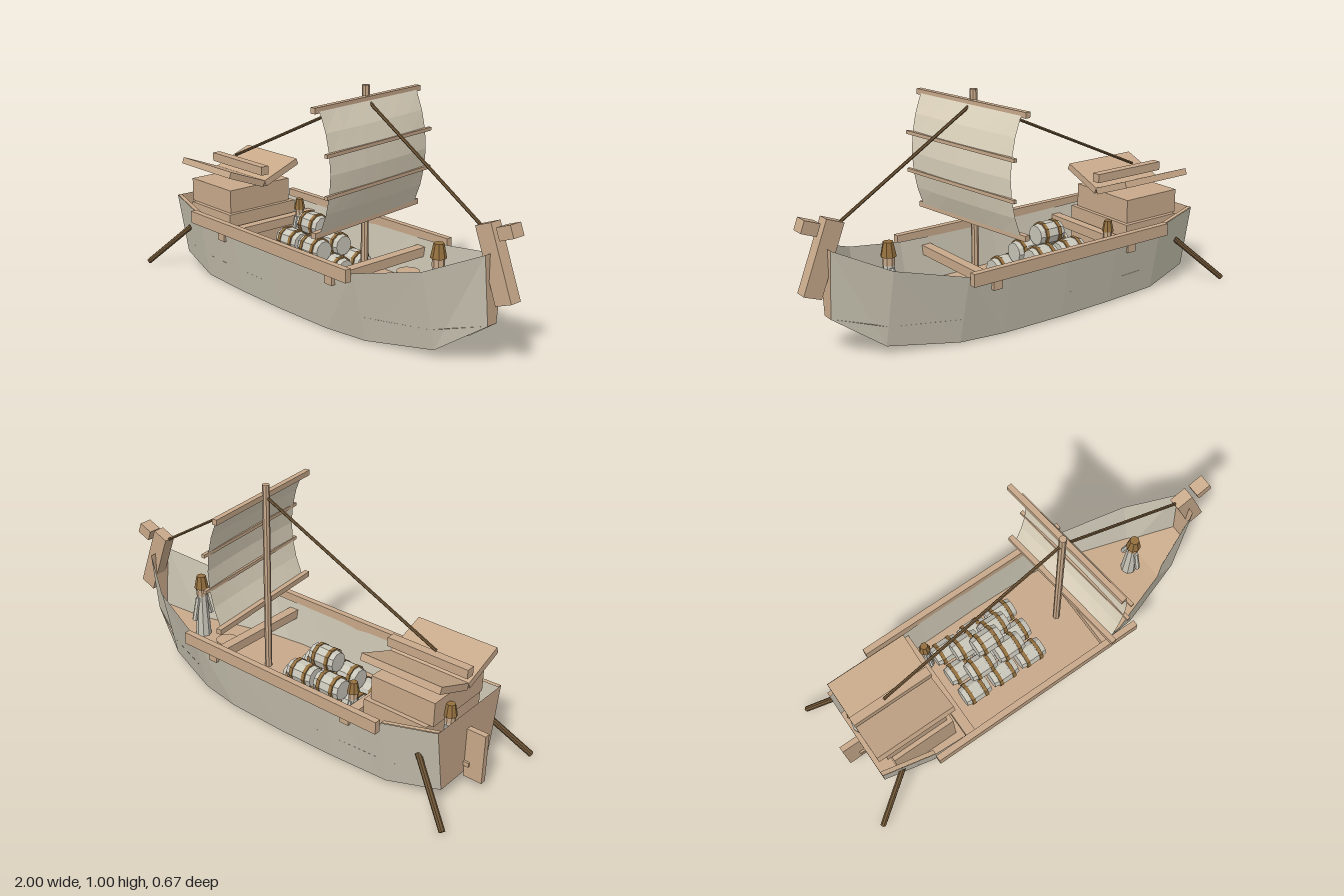
import * as THREE from 'three';

const mat = (name, color, flat = true) =>
  Object.assign(new THREE.MeshStandardMaterial({ color, flatShading: flat, side: THREE.DoubleSide }), { name });

export function createModel() {
  const model = new THREE.Group();
  model.name = 'cargoShip';
  const wood = mat('wood', 0xc8a98a);
  const hullGrey = mat('weatheredHull', 0xc8c2b0);
  const cloth = mat('sailcloth', 0xded4be);
  const dark = mat('darkTimber', 0x6e5536);
  const pale = mat('paleCask', 0xc9c6ba);
  const brass = mat('caskBand', 0x94703f);

  const add = (name, geo, material, x = 0, y = 0, z = 0, parent = model) => {
    const m = new THREE.Mesh(geo, material);
    m.name = name;
    m.position.set(x, y, z);
    parent.add(m);
    return m;
  };
  // Box given by its extents
  const span = (name, x0, x1, y0, y1, z0, z1, material = wood, parent = model) =>
    add(name, new THREE.BoxGeometry(x1 - x0, y1 - y0, z1 - z0), material,
      (x0 + x1) / 2, (y0 + y1) / 2, (z0 + z1) / 2, parent);
  // Round pole between two points
  const pole = (name, a, b, r, material, sides = 8) => {
    const p = new THREE.Vector3(...a), q = new THREE.Vector3(...b), d = q.clone().sub(p);
    const m = add(name, new THREE.CylinderGeometry(r, r, d.length(), sides), material);
    m.position.copy(p).add(q).multiplyScalar(0.5);
    m.quaternion.setFromUnitVectors(new THREE.Vector3(0, 1, 0), d.normalize());
    return m;
  };
  // Strip of quads between two rows of points
  const strip = (name, rowA, rowB, material) => {
    const pos = [...rowA, ...rowB].flat(), idx = [], n = rowA.length;
    for (let i = 0; i < n - 1; i++) idx.push(i, i + 1, n + i + 1, i, n + i + 1, n + i);
    const g = new THREE.BufferGeometry();
    g.setAttribute('position', new THREE.Float32BufferAttribute(pos, 3));
    g.setIndex(idx);
    g.computeVertexNormals();
    return add(name, g, material);
  };

  // Hull stations: x, bottom y, bottom half width, top y, top half width, deck y
  const stations = [
    [-0.875, 0.06, 0.17, 0.352, 0.22, 0.12],
    [-0.64, 0.01, 0.21, 0.315, 0.262, 0.12],
    [-0.37, 0.01, 0.225, 0.305, 0.272, 0.12],
    [-0.1, 0.01, 0.23, 0.3, 0.276, 0.12],
    [0.2, 0.01, 0.222, 0.305, 0.272, 0.12],
    [0.4, 0.01, 0.19, 0.315, 0.262, 0.12],
    [0.69, 0.04, 0.1, 0.38, 0.175, 0.13],
    [0.89, 0.18, 0.025, 0.47, 0.055, 0.182],
  ];
  const row = (iy, iw, s) => stations.map((t) => [t[0], t[iy], s * t[iw]]);
  const deckRow = (s) => stations.map(([x, by, bw, ty, tw, dy]) =>
    [x, dy, s * (bw + (tw - bw) * (dy - by) / (ty - by))]);
  for (const s of [1, -1]) {
    strip(s > 0 ? 'hullSideFront' : 'hullSideBack', row(1, 2, s), row(3, 4, s), hullGrey);
    // Stern cap along the rim
    const a = stations[0], b = stations[1];
    strip('sternRim', [[a[0], a[3] + 0.002, s * a[4]], [b[0], b[3] + 0.002, s * b[4]]],
      [[a[0], a[3] + 0.002, s * (a[4] - 0.02)], [b[0], b[3] + 0.002, s * (b[4] - 0.02)]], wood);
    span('sideRail', -0.645, 0.405, 0.285, 0.34, s > 0 ? 0.275 : -0.303, s > 0 ? 0.303 : -0.275);
  }
  strip('deck', deckRow(1), deckRow(-1), wood);
  for (const [name, i] of [['transom', 0], ['bowPlate', stations.length - 1]]) {
    const [x, by, bw, ty, tw] = stations[i];
    strip(name, [[x, by, bw], [x, ty, tw]], [[x, by, -bw], [x, ty, -tw]], wood);
  }

  // Cross beams through the hull
  span('aftBeam', -0.485, -0.44, 0.235, 0.277, -0.269, 0.269);
  span('foreBeam', 0.245, 0.29, 0.235, 0.277, -0.274, 0.274);

  // Raked stem with its block
  add('stem', new THREE.BoxGeometry(0.08, 0.31, 0.054), wood, 0.905, 0.43, 0).rotation.z = 0.37;
  add('stemBlock', new THREE.BoxGeometry(0.07, 0.052, 0.06), wood, 0.955, 0.565, 0).rotation.z = 0.37;

  // Rudder and steering oars
  span('rudder', -0.96, -0.875, 0.04, 0.265, -0.013, 0.013);
  span('rudderBracket', -0.9, -0.87, 0.095, 0.115, -0.022, 0.022);
  for (const s of [1, -1]) pole('steeringOar', [-0.785, 0.215, s * 0.21], [-0.99, 0.012, s * 0.325], 0.013, dark);

  // Cabin with a valley roof
  span('cabinBase', -0.8, -0.5, 0.12, 0.33, -0.19, 0.19);
  span('cabin', -0.82, -0.52, 0.33, 0.437, -0.17, 0.17);
  for (const s of [1, -1]) {
    add('roofSlab', new THREE.BoxGeometry(0.375, 0.03, 0.205), wood, -0.67, 0.485, s * 0.1).rotation.x = -s * 0.37;
  }
  span('roofBeam', -0.86, -0.48, 0.49, 0.53, -0.02, 0.02);

  // Mast and stays
  pole('mast', [0.19, 0.11, 0], [0.19, 1, 0], 0.016, wood);
  pole('aftStay', [0.19, 0.945, 0], [-0.7, 0.545, 0], 0.007, dark, 6);
  pole('foreStay', [0.19, 0.945, 0], [0.83, 0.55, 0], 0.007, dark, 6);

  // Bellied sail on its yards, slewed around the mast
  const rig = new THREE.Group();
  rig.name = 'rig';
  rig.position.x = 0.205;
  rig.rotation.y = 0.12;
  model.add(rig);
  const sail = new THREE.PlaneGeometry(0.61, 0.49, 6, 6).rotateY(Math.PI / 2);
  const p = sail.attributes.position;
  for (let i = 0; i < p.count; i++) {
    const v = p.getY(i) / 0.245, u = p.getZ(i) / 0.305;
    p.setX(i, 0.012 + (1 - v * v) * (0.055 + 0.01 * (1 - u * u)));
  }
  sail.computeVertexNormals();
  add('sail', sail, cloth, 0, 0.695, 0, rig);
  for (const [name, y, x, h] of [['topYard', 0.945, 0, 0.024], ['batten', 0.777, 0.067, 0.015],
    ['batten', 0.611, 0.067, 0.015], ['bottomYard', 0.445, 0, 0.024]]) {
    add(name, new THREE.BoxGeometry(h, h, 0.662), wood, x, y, 0, rig);
  }

  // Stacked casks lying along the ship
  const caskBody = new THREE.LatheGeometry([[0, -0.065], [0.044, -0.065], [0.053, -0.02], [0.053, 0.02],
    [0.044, 0.065], [0, 0.065]].map(([r, y]) => new THREE.Vector2(r, y)), 10).rotateZ(Math.PI / 2);
  const caskBand = new THREE.CylinderGeometry(0.0555, 0.0555, 0.016, 10).rotateZ(Math.PI / 2);
  const cargo = new THREE.Group();
  cargo.name = 'cargo';
  model.add(cargo);
  for (let layer = 0; layer < 3; layer++) {
    const n = 3 - layer;
    for (let i = 0; i < n; i++) for (let j = 0; j < n; j++) {
      const x = -0.175 + (i - (n - 1) / 2) * 0.15, z = -0.03 + (j - (n - 1) / 2) * 0.115;
      const y = 0.16 + layer * 0.08;
      add('cask', caskBody, pale, x, y, z, cargo);
      for (const s of [-1, 1]) add('caskBand', caskBand, brass, x + s * 0.034, y, z, cargo);
    }
  }

  // Deck hands in robes and pointed caps
  const hand = (x, y, z, h) => {
    const g = new THREE.Group();
    g.name = 'deckHand';
    g.position.set(x, y, z);
    g.scale.setScalar(h);
    model.add(g);
    add('robe', new THREE.CylinderGeometry(0.08, 0.12, 0.68, 8), pale, 0, 0.34, 0, g);
    for (const s of [1, -1]) {
      const arm = add('arm', new THREE.CylinderGeometry(0.035, 0.04, 0.36, 6), pale, 0, 0.48, s * 0.13, g);
      arm.rotation.x = -s * 0.25;
    }
    add('head', new THREE.CylinderGeometry(0.085, 0.085, 0.14, 8), wood, 0, 0.75, 0, g);
    add('cap', new THREE.CylinderGeometry(0.07, 0.11, 0.2, 8), brass, 0, 0.9, 0, g);
  };
  hand(0.61, 0.13, 0, 0.305);
  hand(-0.42, 0.12, -0.155, 0.24);
  hand(-0.835, 0.14, -0.08, 0.26);

  // Lidded tub on the foredeck
  add('tub', new THREE.CylinderGeometry(0.04, 0.034, 0.1, 12), wood, 0.36, 0.165, -0.09);
  add('tubLid', new THREE.CylinderGeometry(0.05, 0.05, 0.016, 12), wood, 0.36, 0.222, -0.09);

  return model;
}
